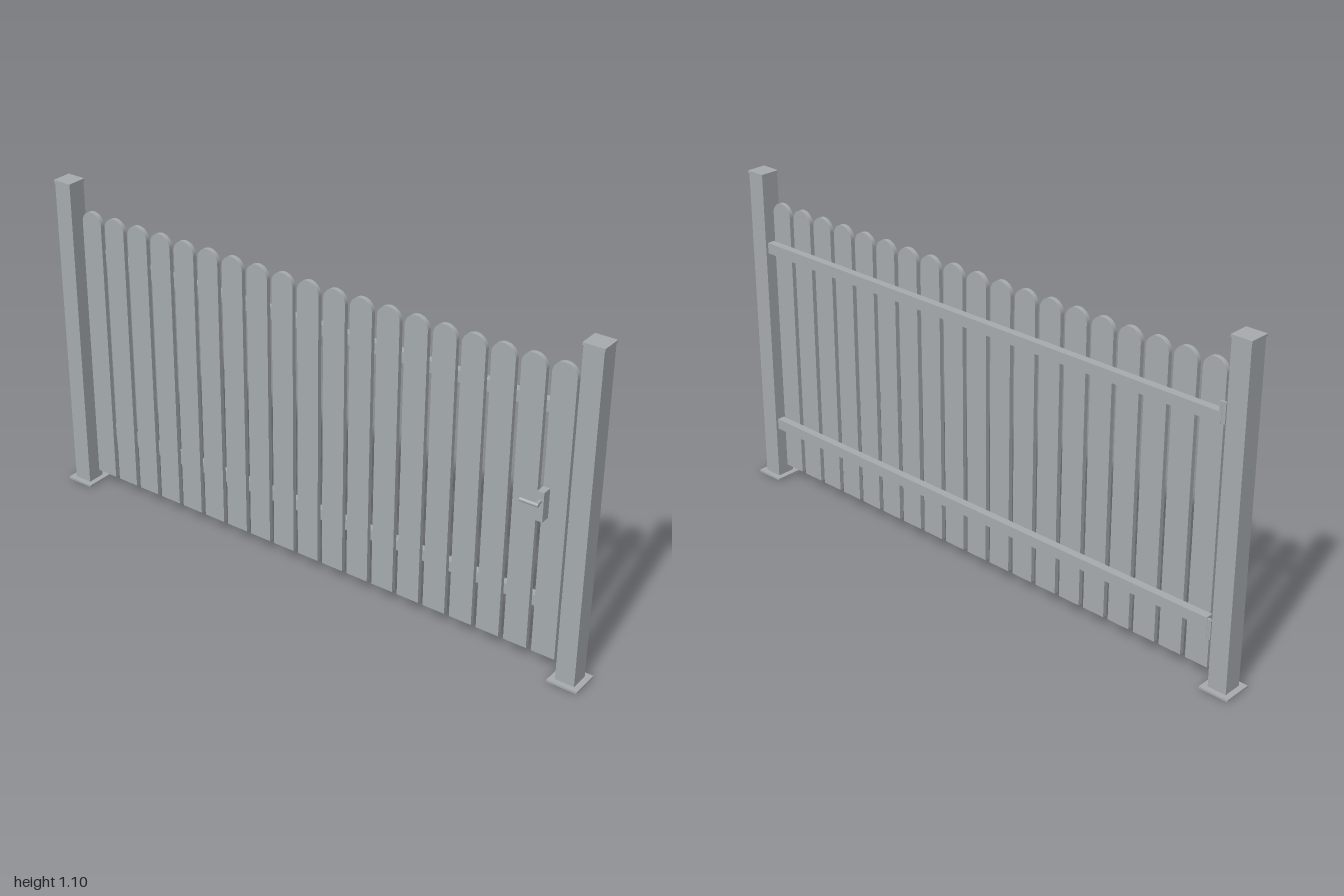
import * as THREE from 'three';

export function createModel() {
  const gate = new THREE.Group();
  gate.name = 'picketGate';
  const steel = new THREE.MeshStandardMaterial({ color: 0xa6abae });
  steel.name = 'galvanisedSteel';

  const add = (name, geometry, x, y, z, parent = gate) => {
    const mesh = new THREE.Mesh(geometry, steel);
    mesh.name = name;
    mesh.position.set(x, y, z);
    parent.add(mesh);
    return mesh;
  };
  // box given by its low and high corners
  const box = (name, [x0, y0, z0], [x1, y1, z1], parent) =>
    add(name, new THREE.BoxGeometry(x1 - x0, y1 - y0, z1 - z0),
      (x0 + x1) / 2, (y0 + y1) / 2, (z0 + z1) / 2, parent);

  // Posts with foot plates and flat caps
  for (const side of [-1, 1]) {
    const post = new THREE.Group();
    post.name = side < 0 ? 'rightPost' : 'leftPost';
    post.position.set(side * 0.949, 0, -0.009);
    gate.add(post);
    box('footPlate', [-0.05, 0, -0.049], [0.05, 0.007, 0.049], post);
    box('postShaft', [-0.0315, 0.007, -0.0315], [0.0315, 1.092, 0.0315], post);
    box('postCap', [-0.034, 1.092, -0.034], [0.034, 1.1, 0.034], post);
  }

  // Round-topped pickets
  const count = 19, half = 0.039, bottom = 0.05, top = 1.01;
  const outline = new THREE.Shape();
  outline.moveTo(-half, bottom);
  outline.lineTo(half, bottom);
  outline.lineTo(half, top - half);
  outline.absarc(0, top - half, half, 0, Math.PI, false);
  outline.closePath();
  const picket = new THREE.ExtrudeGeometry(outline, { depth: 0.015, bevelEnabled: false, curveSegments: 12 });
  for (let i = 0; i < count; i++) {
    add('picket', picket, -0.857 + (i * 1.714) / (count - 1), 0, -0.019);
  }

  // Horizontal rails behind the pickets
  for (const y of [0.197, 0.837]) {
    box('rail', [-0.902, y, -0.045], [0.902, y + 0.036, -0.019]);
  }

  // Hinges between the rails and the right post
  for (const y of [0.1975, 0.8725]) {
    const hinge = new THREE.Group();
    hinge.name = 'hinge';
    hinge.position.set(-0.908, y, -0.042);
    gate.add(hinge);
    box('hingeLeaf', [-0.01, -0.032, -0.003], [0.011, 0.032, 0.004], hinge);
    add('hingePin', new THREE.CylinderGeometry(0.005, 0.005, 0.066, 12), 0, 0, 0, hinge);
  }

  // Lock plate with neck and lever
  const handle = new THREE.Group();
  handle.name = 'handle';
  gate.add(handle);
  box('lockPlate', [0.818, 0.517, -0.004], [0.84, 0.613, 0.028], handle);
  const neck = add('handleNeck', new THREE.CylinderGeometry(0.006, 0.006, 0.026, 16), 0.829, 0.584, 0.039, handle);
  neck.rotation.x = Math.PI / 2;
  const lever = add('handleLever', new THREE.CylinderGeometry(0.006, 0.006, 0.06, 16), 0.808, 0.584, 0.052, handle);
  lever.rotation.z = Math.PI / 2;

  return gate;
}
